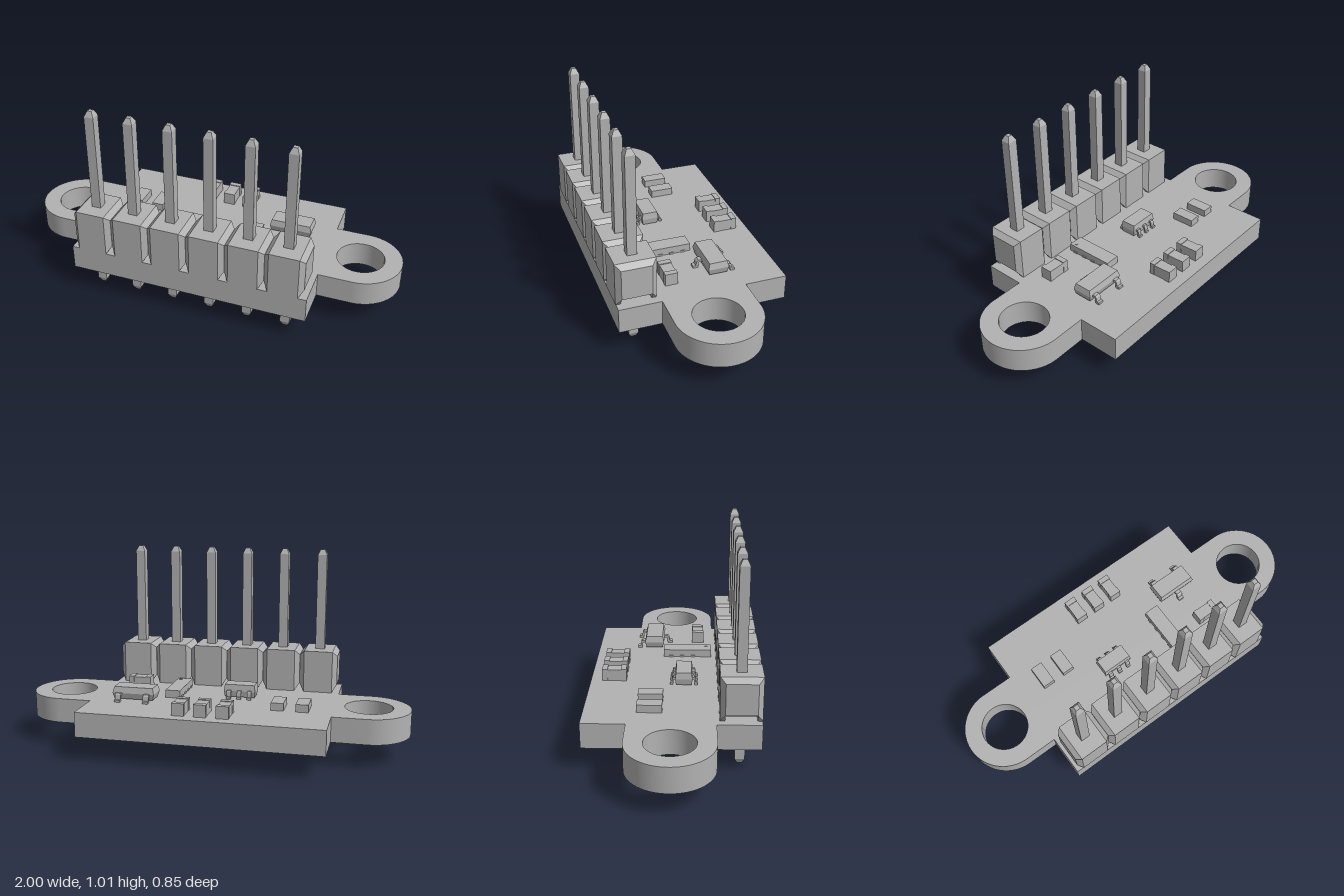
import * as THREE from 'three';
import { toCreasedNormals } from 'three/addons/utils/BufferGeometryUtils.js';

const grey = new THREE.MeshStandardMaterial({ color: 0xb2b2b2 });
grey.name = 'plain grey';

const BOTTOM = 0.128, TOP = 0.256; // board faces

function add(parent, name, geometry, x = 0, y = 0, z = 0) {
  const mesh = new THREE.Mesh(geometry, grey);
  mesh.name = name;
  mesh.position.set(x, y, z);
  parent.add(mesh);
  return mesh;
}

// Box given by its lower and upper limits
function block(parent, name, [x0, x1], [y0, y1], [z0, z1]) {
  return add(parent, name, new THREE.BoxGeometry(x1 - x0, y1 - y0, z1 - z0),
    (x0 + x1) / 2, (y0 + y1) / 2, (z0 + z1) / 2);
}

// Flat-faced skin over matching loops, capped at both ends
function loft(loops) {
  const out = [], n = loops[0].length;
  const tri = (a, b, c) => out.push(...a, ...b, ...c);
  for (let s = 0; s < loops.length - 1; s++) {
    for (let i = 0; i < n; i++) {
      const j = (i + 1) % n, lo = loops[s], hi = loops[s + 1];
      tri(lo[i], lo[j], hi[j]);
      tri(lo[i], hi[j], hi[i]);
    }
  }
  const first = loops[0], last = loops[loops.length - 1];
  for (let i = 1; i < n - 1; i++) {
    tri(first[0], first[i + 1], first[i]);
    tri(last[0], last[i], last[i + 1]);
  }
  const g = new THREE.BufferGeometry();
  g.setAttribute('position', new THREE.Float32BufferAttribute(out, 3));
  g.computeVertexNormals();
  return g;
}

// Moulded chip body, widest at mid height
function mouldedBody(w, d, y0, yMid, y1, inset) {
  const rect = (y, k) => [[-1, 1], [1, 1], [1, -1], [-1, -1]]
    .map(([sx, sz]) => [sx * (w / 2 - k), y, sz * (d / 2 - k)]);
  return loft([rect(y0, inset), rect(yMid, 0), rect(y1, inset)]);
}

// Bent lead leaving a chip body towards +z (side 1) or -z (side -1)
function lead(parent, x, z, side, width, reach) {
  const profile = [[-0.01, 0.042], [0.4, 0.042], [0.58, 0.034], [0.68, 0.012], [1, 0.012],
    [1, 0], [0.45, 0], [0.32, 0.03], [-0.01, 0.03]];
  const shape = new THREE.Shape(profile.map(([u, v]) => new THREE.Vector2(u * reach, v)));
  const g = new THREE.ExtrudeGeometry(shape, { depth: width, bevelEnabled: false });
  g.translate(0, 0, -width / 2).rotateY(-side * Math.PI / 2);
  add(parent, 'lead', g, x, TOP, z);
}

// Passive part with a metal cap at each end of its long side
function capped(parent, name, x, z, w, d, h, cap) {
  const part = new THREE.Group();
  part.name = name;
  part.position.set(x, TOP, z);
  parent.add(part);
  const alongX = w > d, t = 0.004;
  const bw = alongX ? w - cap : w - t, bd = alongX ? d - t : d - cap;
  block(part, 'ceramicBody', [-bw / 2, bw / 2], [0, h - t], [-bd / 2, bd / 2]);
  for (const s of [-1, 1]) {
    const g = new THREE.BoxGeometry(alongX ? cap : w, h, alongX ? d : cap);
    add(part, 'endCap', g, alongX ? s * (w - cap) / 2 : 0, h / 2, alongX ? 0 : s * (d - cap) / 2);
  }
}

function boardGeometry() {
  const s = new THREE.Shape(), ear = 0.79, r = 0.21, w = 0.62, d = 0.422;
  s.moveTo(-w, -d);
  s.lineTo(w, -d);
  s.lineTo(w, -r);
  s.lineTo(ear, -r);
  s.absarc(ear, 0, r, -Math.PI / 2, Math.PI / 2, false);
  s.lineTo(w, r);
  s.lineTo(w, d);
  s.lineTo(-w, d);
  s.lineTo(-w, r);
  s.lineTo(-ear, r);
  s.absarc(-ear, 0, r, Math.PI / 2, Math.PI * 1.5, false);
  s.lineTo(-w, -r);
  for (const x of [-ear, ear]) {
    s.holes.push(new THREE.Path().absarc(x, 0, 0.121, 0, Math.PI * 2, true));
  }
  const g = new THREE.ExtrudeGeometry(s, { depth: TOP - BOTTOM, bevelEnabled: false, curveSegments: 32 });
  g.rotateX(-Math.PI / 2).translate(0, BOTTOM, 0);
  return toCreasedNormals(g, Math.PI / 6);
}

// Header housing: bevelled towards both ends, with a channel underneath
function housingGeometry() {
  const b = TOP, t = 0.478, c = 0.28, lo = 0.295, hi = 0.452, o = 0.1, i = 0.075;
  const wide = [[-o, b], [-i, b], [-i, c], [i, c], [i, b], [o, b], [o, t], [-o, t]];
  const small = wide.map(([u], k) => [Math.sign(u) * i, k < 6 ? lo : hi]);
  const at = (x, loop) => loop.map(([u, y]) => [x, y, -u]);
  return loft([at(-o, small), at(-i, wide), at(i, wide), at(o, small)]);
}

// Square pin with tapered tips
function pinGeometry() {
  const q = Math.SQRT2;
  const pts = [[0, 0], [0.011, 0], [0.0245, 0.028], [0.0245, 0.982], [0.011, 1.01], [0, 1.01]]
    .map(([r, y]) => new THREE.Vector2(r * q, y));
  const g = new THREE.LatheGeometry(pts, 4).rotateY(Math.PI / 4).toNonIndexed();
  g.computeVertexNormals();
  return g;
}

export function createModel() {
  const model = new THREE.Group();
  model.name = 'breakoutBoard';
  add(model, 'circuitBoard', boardGeometry());

  // Six-way pin header
  const header = new THREE.Group();
  header.name = 'pinHeader';
  model.add(header);
  const housing = housingGeometry(), pin = pinGeometry();
  for (let k = 0; k < 6; k++) {
    const x = -0.504 + k * 0.201;
    add(header, 'pinHousing', housing, x, 0, 0.324);
    add(header, 'pin', pin, x, 0, 0.324);
  }

  // Sensor under the board
  block(model, 'undersideSensor', [-0.178, 0.17], [0.075, BOTTOM], [-0.262, -0.072]);

  // Row of capacitors at the back, and one at the front
  for (const x of [-0.115, -0.002, 0.108]) capped(model, 'capacitor', x, -0.302, 0.062, 0.124, 0.063, 0.028);
  capped(model, 'frontCapacitor', 0.45, 0.127, 0.122, 0.064, 0.063, 0.028);

  // Two flat resistors
  for (const x of [-0.472, -0.348]) block(model, 'resistor', [x - 0.032, x + 0.032], [TOP, 0.295], [-0.167, -0.045]);

  // Six-lead chip
  const six = new THREE.Group();
  six.name = 'sixLeadChip';
  model.add(six);
  add(six, 'chipBody', mouldedBody(0.166, 0.088, 0.262, 0.293, 0.327, 0.005), -0.122, 0, 0.054);
  for (const x of [-0.176, -0.122, -0.068]) {
    lead(six, x, 0.097, 1, 0.022, 0.026);
    lead(six, x, 0.011, -1, 0.022, 0.026);
  }

  // Three-lead regulator
  const regulator = new THREE.Group();
  regulator.name = 'regulator';
  model.add(regulator);
  add(regulator, 'regulatorBody', mouldedBody(0.222, 0.106, 0.264, 0.295, 0.327, 0.008), 0.4, 0, -0.115);
  lead(regulator, 0.4, -0.063, 1, 0.03, 0.045);
  for (const x of [0.325, 0.475]) lead(regulator, x, -0.167, -1, 0.03, 0.04);

  // Long low chip with side pads and a pin-one dot
  const long = new THREE.Group();
  long.name = 'longChip';
  model.add(long);
  block(long, 'longChipBody', [0.18, 0.259], [TOP, 0.296], [-0.06, 0.198]);
  for (let k = 0; k < 4; k++) {
    const z = -0.02 + k * 0.06;
    for (const x of [0.179, 0.26]) block(long, 'sidePad', [x - 0.003, x + 0.003], [TOP, 0.265], [z - 0.012, z + 0.012]);
  }
  add(long, 'pinOneDot', new THREE.CylinderGeometry(0.008, 0.008, 0.003, 16), 0.238, 0.297, 0.172);

  return model;
}
